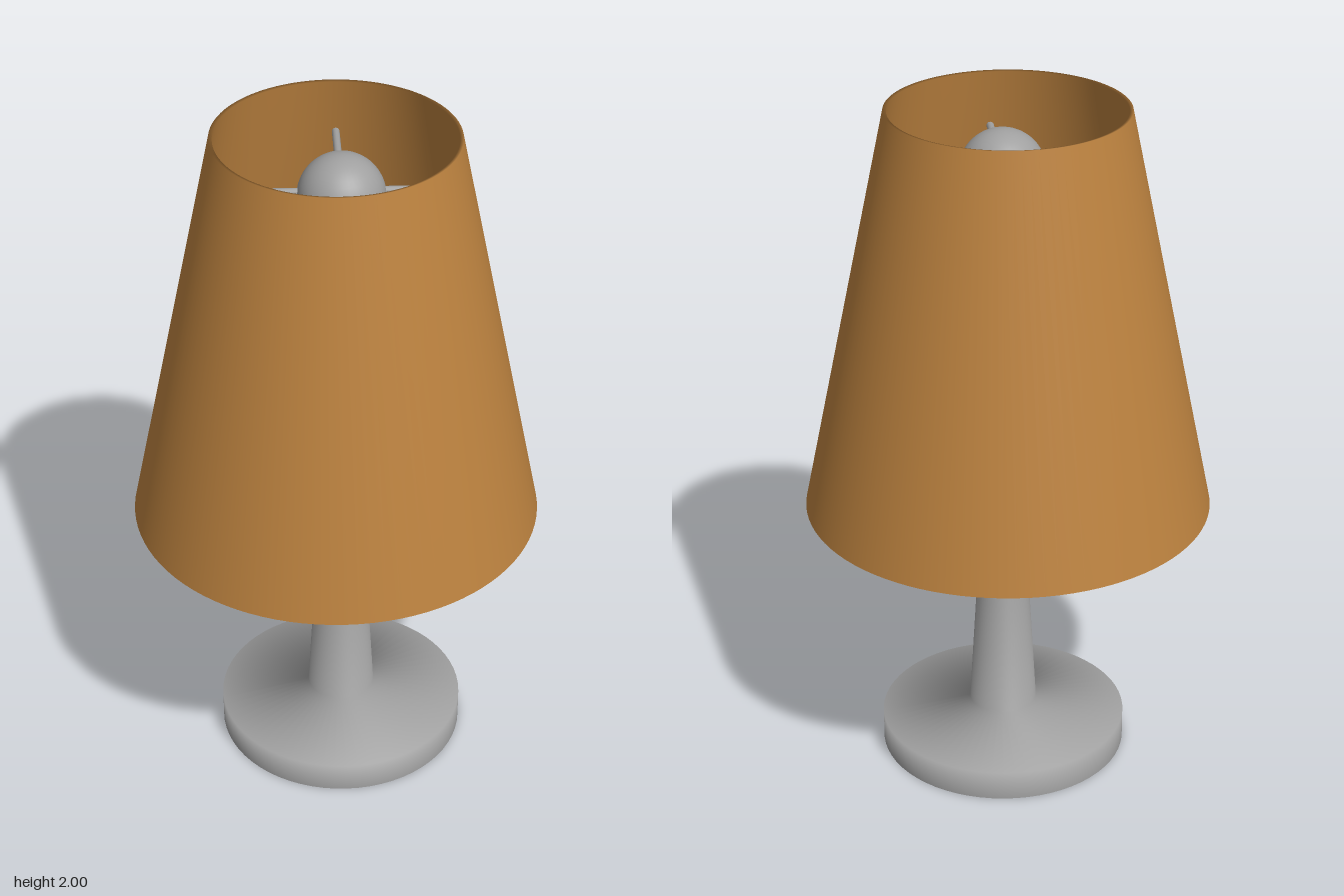
import * as THREE from 'three';

const grey = new THREE.MeshStandardMaterial({ color: 0xa0a0a0 });
const amber = new THREE.MeshStandardMaterial({ color: 0xbc823f, side: THREE.DoubleSide });

// turned part, smooth-shaded along its whole profile
function turned(name, profile, material, segments) {
  const points = profile.map(([r, y]) => new THREE.Vector2(r, y));
  const mesh = new THREE.Mesh(new THREE.LatheGeometry(points, segments), material);
  mesh.name = name;
  return mesh;
}

export function createModel() {
  const model = new THREE.Group();
  model.name = 'tableLamp';

  // the stand sits slightly off the shade's axis
  const stand = new THREE.Group();
  stand.name = 'stand';
  stand.position.x = 0.015;
  model.add(stand);

  // flat underside, then a foot that flows into the tapered stem
  stand.add(turned('underside', [[0, 0], [0.365, 0]], grey, 64));
  stand.add(turned('baseAndStem',
    [[0.365, 0], [0.365, 0.09], [0.1, 0.13], [0.06, 0.82], [0.012, 1.72]], grey, 64));

  // round bulb
  const bulb = new THREE.Mesh(new THREE.SphereGeometry(0.122, 40, 24), grey);
  bulb.name = 'bulb';
  bulb.position.y = 1.82;
  stand.add(bulb);

  // four thin rods from the bulb to the shade
  const rodLengths = [0.34, 0.335, 0.35, 0.325];
  rodLengths.forEach((length, i) => {
    const geometry = new THREE.CylinderGeometry(0.011, 0.011, length, 12);
    geometry.rotateX(Math.PI / 2).translate(0, 0, length / 2);
    const rod = new THREE.Mesh(geometry, grey);
    rod.name = 'shadeRod' + (i + 1);
    rod.position.y = 1.835;
    rod.rotation.y = (i * Math.PI) / 2;
    stand.add(rod);
  });

  // thin conical shade with soft rims, its profile starting and ending halfway up the inside
  model.add(turned('shade',
    [[0.4545, 1.404], [0.579, 0.81], [0.589, 0.812], [0.34, 2], [0.33, 1.998], [0.4545, 1.404]],
    amber, 96));

  return model;
}
